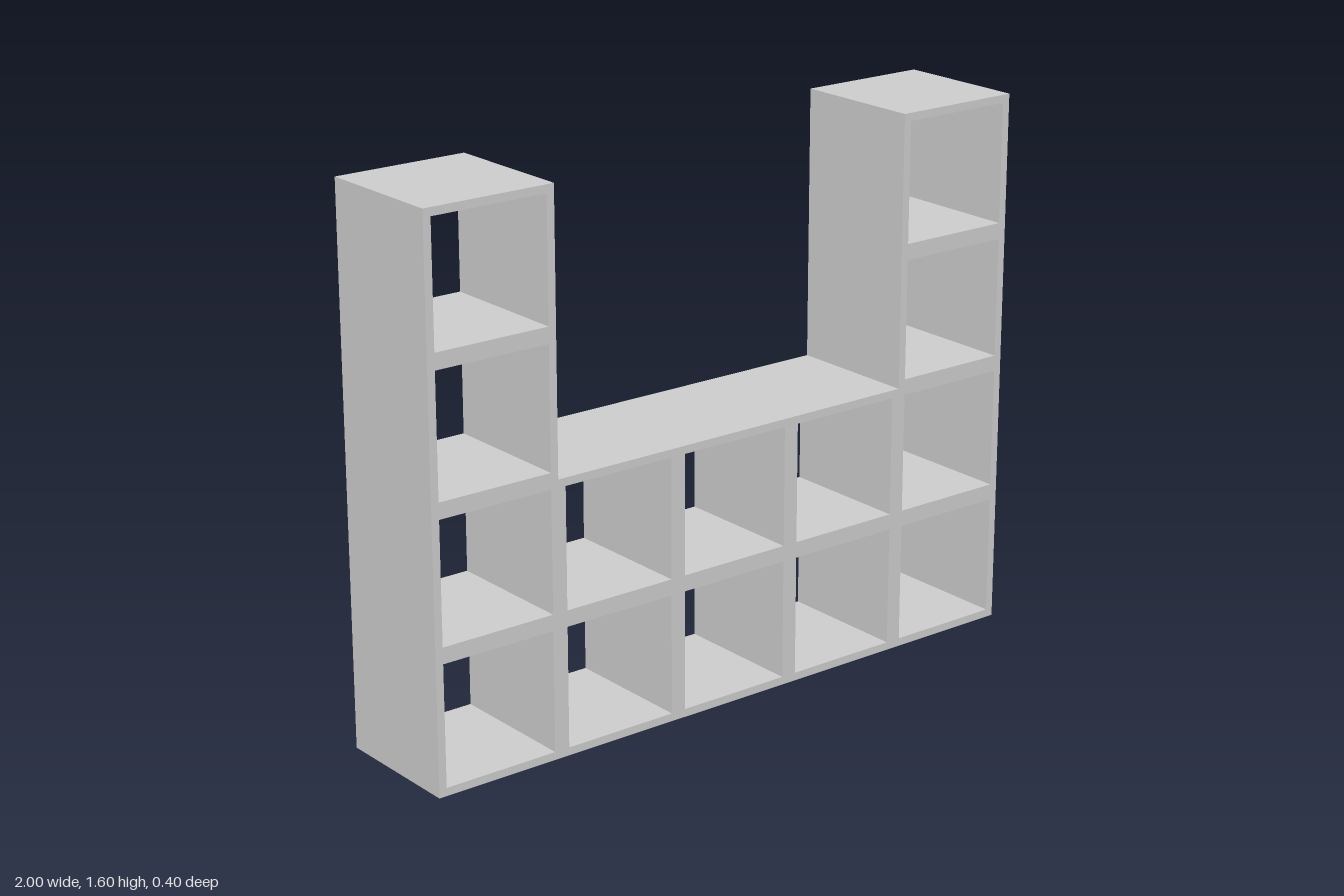
import * as THREE from 'three';

const CELL = 0.4;            // pitch of the cubbies, also the depth
const WALL = CELL / 17;      // board thickness around each cubby
const COLUMNS = [4, 2, 2, 2, 4]; // cubbies stacked in each column

// Corner points of an axis-aligned rectangle
function rect(x0, y0, x1, y1) {
  return [[x0, y0], [x1, y0], [x1, y1], [x0, y1]].map(([x, y]) => new THREE.Vector2(x, y));
}

export function createModel() {
  const group = new THREE.Group();
  group.name = 'cubbyShelf';
  const material = new THREE.MeshStandardMaterial({ color: 0xcccccc });

  // U-shaped outline: low middle with a tower at each end
  const left = -COLUMNS.length * CELL / 2;
  const low = 2 * CELL, high = 4 * CELL;
  const outline = new THREE.Shape([
    [left, 0], [-left, 0], [-left, high], [-left - CELL, high],
    [-left - CELL, low], [left + CELL, low], [left + CELL, high], [left, high],
  ].map(([x, y]) => new THREE.Vector2(x, y)));

  // Open cubbies, running right through from front to back
  COLUMNS.forEach((count, column) => {
    for (let row = 0; row < count; row++) {
      const x = left + column * CELL, y = row * CELL;
      outline.holes.push(new THREE.Path(
        rect(x + WALL, y + WALL, x + CELL - WALL, y + CELL - WALL).reverse()));
    }
  });

  // Shelf frame
  const geometry = new THREE.ExtrudeGeometry(outline, { depth: CELL, bevelEnabled: false });
  geometry.translate(0, 0, -CELL / 2);
  const frame = new THREE.Mesh(geometry, material);
  frame.name = 'shelfFrame';
  group.add(frame);

  return group;
}
